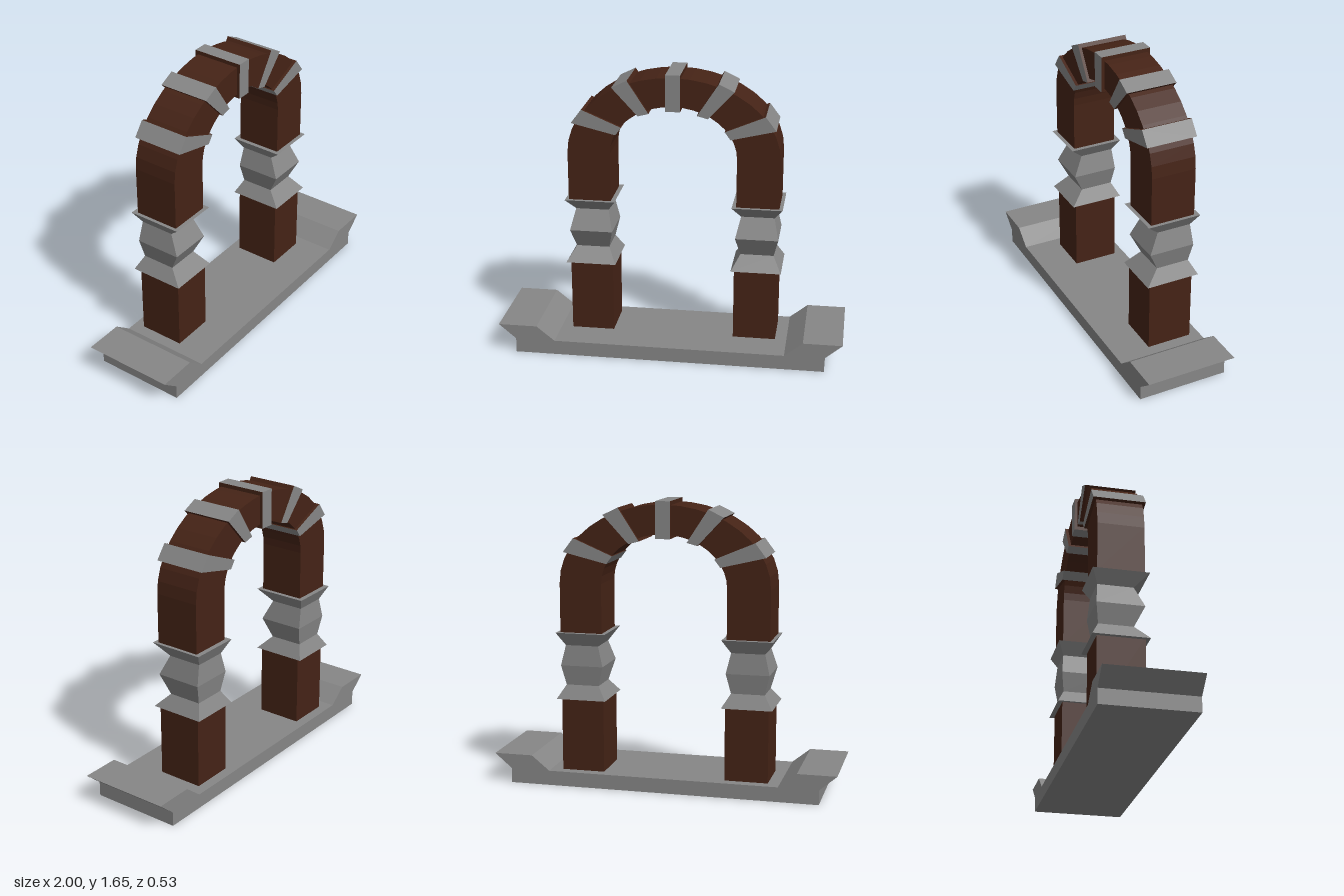
import * as THREE from 'three';

const stone = new THREE.MeshStandardMaterial({ color: 0x868686, flatShading: true });
const brown = new THREE.MeshStandardMaterial({ color: 0x452316, flatShading: true });
const ARCH_Z = -0.075;

// Extrude a front outline to a slab running from z0 to z1
function slab(name, points, z0, z1, material) {
  const shape = new THREE.Shape(points.map(([x, y]) => new THREE.Vector2(x, y)));
  const geometry = new THREE.ExtrudeGeometry(shape, { depth: z1 - z0, bevelEnabled: false });
  geometry.translate(0, 0, z0);
  const mesh = new THREE.Mesh(geometry, material);
  mesh.name = name;
  return mesh;
}

// Tapered arch stone with brown flanks: a box whose corners move to
// [near bottom, far bottom, far top, near top], mirrored by sign
function archStone(name, corners, sign) {
  const geometry = new THREE.BoxGeometry(1, 1, 0.298);
  const p = geometry.attributes.position;
  for (let i = 0; i < p.count; i++) {
    const far = p.getX(i) * sign > 0;
    const [x, y] = corners[p.getY(i) > 0 ? (far ? 2 : 3) : (far ? 1 : 0)];
    p.setXY(i, sign * x, y);
  }
  geometry.computeVertexNormals();
  const mesh = new THREE.Mesh(geometry, [brown, brown, stone, stone, stone, stone]);
  mesh.position.z = ARCH_Z;
  mesh.name = name;
  return mesh;
}

// Stack of rectangles [y, half width, back z, front z], closed at both ends
function rectLoft(name, rings, material) {
  const positions = [], index = [];
  for (const [y, w, back, front] of rings) {
    positions.push(-w, y, front, w, y, front, w, y, back, -w, y, back);
  }
  for (let r = 0; r < rings.length - 1; r++) {
    for (let i = 0; i < 4; i++) {
      const a = r * 4 + i, b = r * 4 + (i + 1) % 4;
      index.push(a, b, b + 4, a, b + 4, a + 4);
    }
  }
  const t = (rings.length - 1) * 4;
  index.push(0, 2, 1, 0, 3, 2, t, t + 1, t + 2, t, t + 2, t + 3);
  const geometry = new THREE.BufferGeometry();
  geometry.setAttribute('position', new THREE.Float32BufferAttribute(positions, 3));
  geometry.setIndex(index);
  const flat = geometry.toNonIndexed();
  flat.computeVertexNormals();
  const mesh = new THREE.Mesh(flat, material);
  mesh.name = name;
  return mesh;
}

export function createModel() {
  const group = new THREE.Group();
  group.name = 'archway';

  // Base with flared raised ends
  const half = [[0.9, 0], [0.9, 0.085], [1, 0.17], [0.775, 0.17], [0.67, 0.085]];
  const mirrored = half.map(([x, y]) => [-x, y]).reverse();
  group.add(slab('base', [...half, ...mirrored], -0.265, 0.265, stone));

  // Arch with its straight upper legs
  const outer = [], inner = [], steps = 20;
  for (let i = 0; i <= steps; i++) {
    const a = Math.PI * i / steps;
    outer.push([0.607 * Math.cos(a), 1.18 + 0.455 * Math.sin(a)]);
    inner.unshift([0.362 * Math.cos(a), 1.18 + 0.29 * Math.sin(a)]);
  }
  const outline = [[0.607, 0.89], ...outer, [-0.607, 0.89], [-0.362, 0.89], ...inner, [0.362, 0.89]];
  group.add(slab('arch', outline, ARCH_Z - 0.132, ARCH_Z + 0.132, brown));

  // Lower legs and the carved collars above them
  const collar = [
    [0.508, 0.145, -0.235, 0.08],
    [0.588, 0.096, -0.195, 0.0],
    [0.702, 0.124, -0.21, 0.057],
    [0.82, 0.096, -0.2, 0.0],
    [0.895, 0.145, -0.235, 0.08],
  ];
  for (const [side, sign] of [['left', 1], ['right', -1]]) {
    const leg = new THREE.Mesh(new THREE.BoxGeometry(0.248, 0.44, 0.264), brown);
    leg.position.set(sign * 0.479, 0.3, ARCH_Z);
    leg.name = side + 'LowerLeg';
    const ring = rectLoft(side + 'Collar', collar, stone);
    ring.position.x = sign * 0.482;
    group.add(leg, ring);
  }

  // Keystone and the tapered stones on both sides of it
  const keystone = [[-0.042, 1.446], [0.042, 1.446], [0.042, 1.655], [-0.042, 1.655]];
  group.add(archStone('keystone', keystone, 1));
  const stones = [
    [[0.136, 1.429], [0.197, 1.413], [0.345, 1.572], [0.257, 1.615]],
    [[0.292, 1.342], [0.326, 1.297], [0.58, 1.358], [0.519, 1.438]],
  ];
  stones.forEach((corners, i) => {
    group.add(archStone(`leftArchStone${i + 1}`, corners, 1));
    group.add(archStone(`rightArchStone${i + 1}`, corners, -1));
  });

  return group;
}
